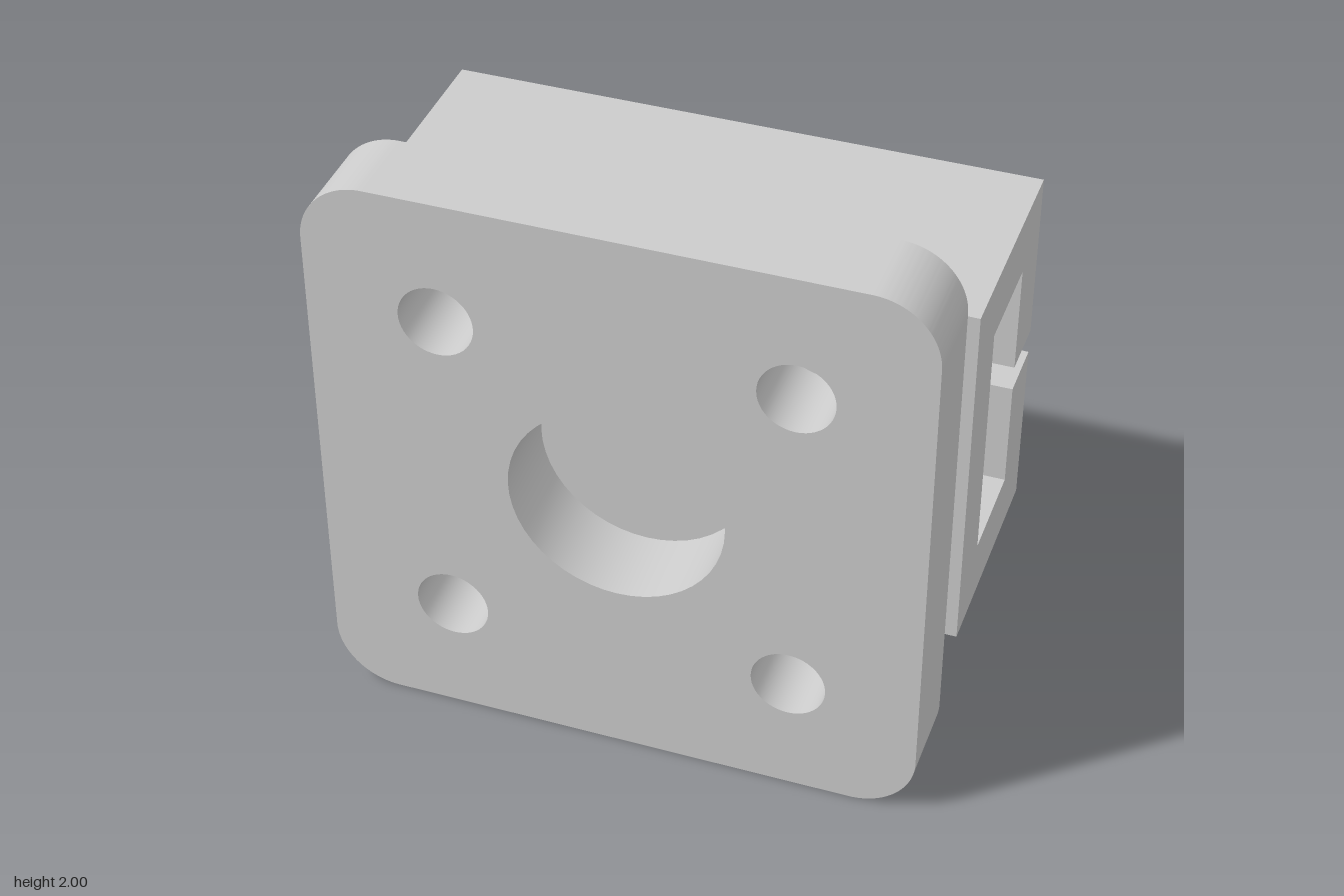
import * as THREE from 'three';
import { toCreasedNormals } from 'three/addons/utils/BufferGeometryUtils.js';

const U = 1 / 28; // one design unit; the plate is 56 units square
const material = new THREE.MeshStandardMaterial({ color: 0xcccccc });

function part(name, geometry) {
  const mesh = new THREE.Mesh(geometry, material);
  mesh.name = name;
  return mesh;
}

function roundedSquare(half, r) {
  const s = new THREE.Shape();
  const c = half - r;
  s.absarc(c, c, r, 0, Math.PI / 2);
  s.absarc(-c, c, r, Math.PI / 2, Math.PI);
  s.absarc(-c, -c, r, Math.PI, Math.PI * 1.5);
  s.absarc(c, -c, r, Math.PI * 1.5, Math.PI * 2);
  s.closePath();
  return s;
}

function addHole(shape, x, y, r) {
  const hole = new THREE.Path();
  hole.absarc(x, y, r, 0, Math.PI * 2, true);
  shape.holes.push(hole);
}

export function createModel() {
  const group = new THREE.Group();
  group.name = 'mountingBracket';

  // Front plate with rounded corners, four bolt holes and a central bore
  const plateShape = roundedSquare(28 * U, 6 * U);
  addHole(plateShape, 0, 0, 10 * U);
  for (const x of [-16, 16]) {
    for (const y of [-16, 16]) addHole(plateShape, x * U, y * U, 3.45 * U);
  }
  const plate = new THREE.ExtrudeGeometry(plateShape, {
    depth: 8 * U, bevelEnabled: false, curveSegments: 24,
  });
  plate.translate(0, 1, 9.5 * U);
  group.add(part('mountingPlate', toCreasedNormals(plate, 0.6)));

  // Square spacer block, which closes the bore from behind
  const spacer = new THREE.BoxGeometry(24 * U, 24 * U, 5 * U);
  spacer.translate(0, 1, 7 * U);
  group.add(part('spacerBlock', spacer));

  // Slotted channel: C-shaped section (z, y) run along x
  const front = 4.5, back = -17.5, wall = 6, half = 18, slot = 1.25;
  const section = [
    [back, slot], [back, half], [front, half], [front, -half], [back, -half], [back, -slot],
    [back + wall, -slot], [back + wall, wall - half], [front - wall, wall - half],
    [front - wall, half - wall], [back + wall, half - wall], [back + wall, slot],
  ].map(([z, y]) => new THREE.Vector2(z * U, y * U));
  const channel = new THREE.ExtrudeGeometry(new THREE.Shape(section), {
    depth: 2, bevelEnabled: false,
  });
  channel.rotateY(-Math.PI / 2);
  channel.translate(1, 1, 0);
  group.add(part('slottedChannel', channel));

  return group;
}
